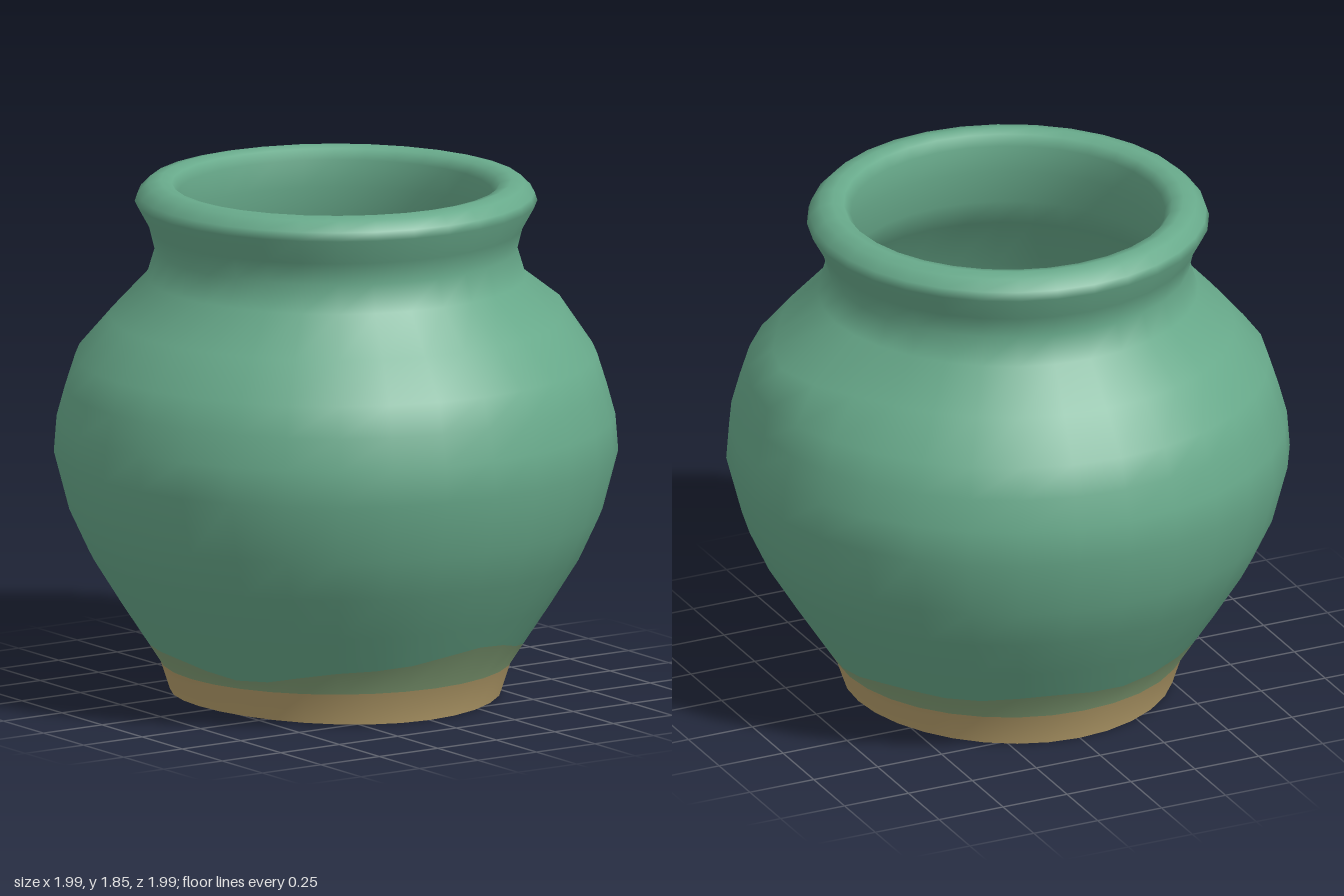
import * as THREE from 'three';

const SIDES = 32;
const green = new THREE.MeshStandardMaterial({ name: 'greenGlaze', color: 0x68aa8b });
const olive = new THREE.MeshStandardMaterial({ name: 'thinGlaze', color: 0x829f76 });
const tan = new THREE.MeshStandardMaterial({ name: 'bareClay', color: 0xb8a06c });

// Uneven edge where the glaze stops, angle measured from +z towards +x
const glazeEdge = (a) =>
  0.205 + 0.03 * Math.cos(2 * a - 0.35) + 0.018 * Math.sin(3 * a + 1.2) + 0.012 * Math.sin(7 * a);

// Foot is a little lifted at the two sides
const footLift = (a) => 0.018 * Math.sin(a) ** 2;

// Hand-thrown swelling on the left shoulder
function swell(a, y) {
  const d = Math.atan2(Math.sin(a - Math.PI / 2), Math.cos(a - Math.PI / 2));
  return 0.09 * Math.exp(-((d / 0.3) ** 2) - ((y - 1.34) / 0.1) ** 2);
}

// Rings of points from a profile of [radius, height]; shape() may adjust each point
function rings(profile, shape) {
  const pos = [];
  profile.forEach(([r, y], row) => {
    for (let i = 0; i < SIDES; i++) {
      const a = (i / SIDES) * Math.PI * 2;
      const [rr, yy] = shape(r, y, a, row);
      pos.push(Math.sin(a) * rr, yy, Math.cos(a) * rr);
    }
  });
  const geo = new THREE.BufferGeometry();
  geo.setAttribute('position', new THREE.Float32BufferAttribute(pos, 3));
  geo.setIndex(bandIndex(0, profile.length - 1));
  geo.computeVertexNormals();
  return geo;
}

// Faces between two rows of rings
function bandIndex(from, to) {
  const index = [];
  for (let j = from; j < to; j++) {
    for (let i = 0; i < SIDES; i++) {
      const n = (i + 1) % SIDES;
      const a = j * SIDES + i, b = j * SIDES + n;
      const c = a + SIDES, d = b + SIDES;
      index.push(a, b, d, a, d, c);
    }
  }
  return index;
}

export function createModel() {
  const pot = new THREE.Group();
  pot.name = 'pot';

  // Outer wall from foot to lip, then the inner wall down to the floor
  const wall = [
    [0.585, 0], [0.62, 0.12], [0.675, 0.205], [0.77, 0.35], [0.87, 0.51],
    [0.94, 0.66], [0.995, 0.87], [0.985, 1.0], [0.955, 1.11], [0.92, 1.22],
    [0.8, 1.36], [0.67, 1.5], [0.64, 1.6], [0.66, 1.68], [0.71, 1.77],
    [0.7, 1.8], [0.665, 1.835], [0.62, 1.845], [0.58, 1.835], [0.555, 1.8],
    [0.56, 1.7], [0.57, 1.58], [0.61, 1.48], [0.82, 1.22], [0.9, 0.92],
    [0.8, 0.52], [0.58, 0.22], [0.3, 0.12], [0, 0.1],
  ];
  const glazeRow = 2, lipRow = 17;
  const shell = rings(wall, (r, y, a, row) => {
    if (row === 0) return [r, footLift(a)];
    if (row === glazeRow) {
      const h = glazeEdge(a);
      return [0.62 + (h - 0.12) * 0.645, h];
    }
    return [row < lipRow ? r + swell(a, y) : r, y];
  });

  // Shell parts share points and normals so the colour borders stay smooth
  const addBand = (name, from, to, material) => {
    const geo = new THREE.BufferGeometry();
    geo.setAttribute('position', shell.getAttribute('position'));
    geo.setAttribute('normal', shell.getAttribute('normal'));
    geo.setIndex(bandIndex(from, to));
    const mesh = new THREE.Mesh(geo, material);
    mesh.name = name;
    pot.add(mesh);
  };
  addBand('foot', 0, 1, tan);
  addBand('glazeFringe', 1, glazeRow, olive);
  addBand('body', glazeRow, 11, green);
  addBand('neckAndLip', 11, 20, green);
  addBand('inside', 20, wall.length - 1, green);

  // Slightly hollow underside
  const base = [[0, 0.04], [0.3, 0.037], [0.53, 0.03], [0.585, 0]];
  const underside = new THREE.Mesh(
    rings(base, (r, y, a, row) => [r, row === 3 ? footLift(a) : y]), tan);
  underside.name = 'underside';
  pot.add(underside);

  return pot;
}
